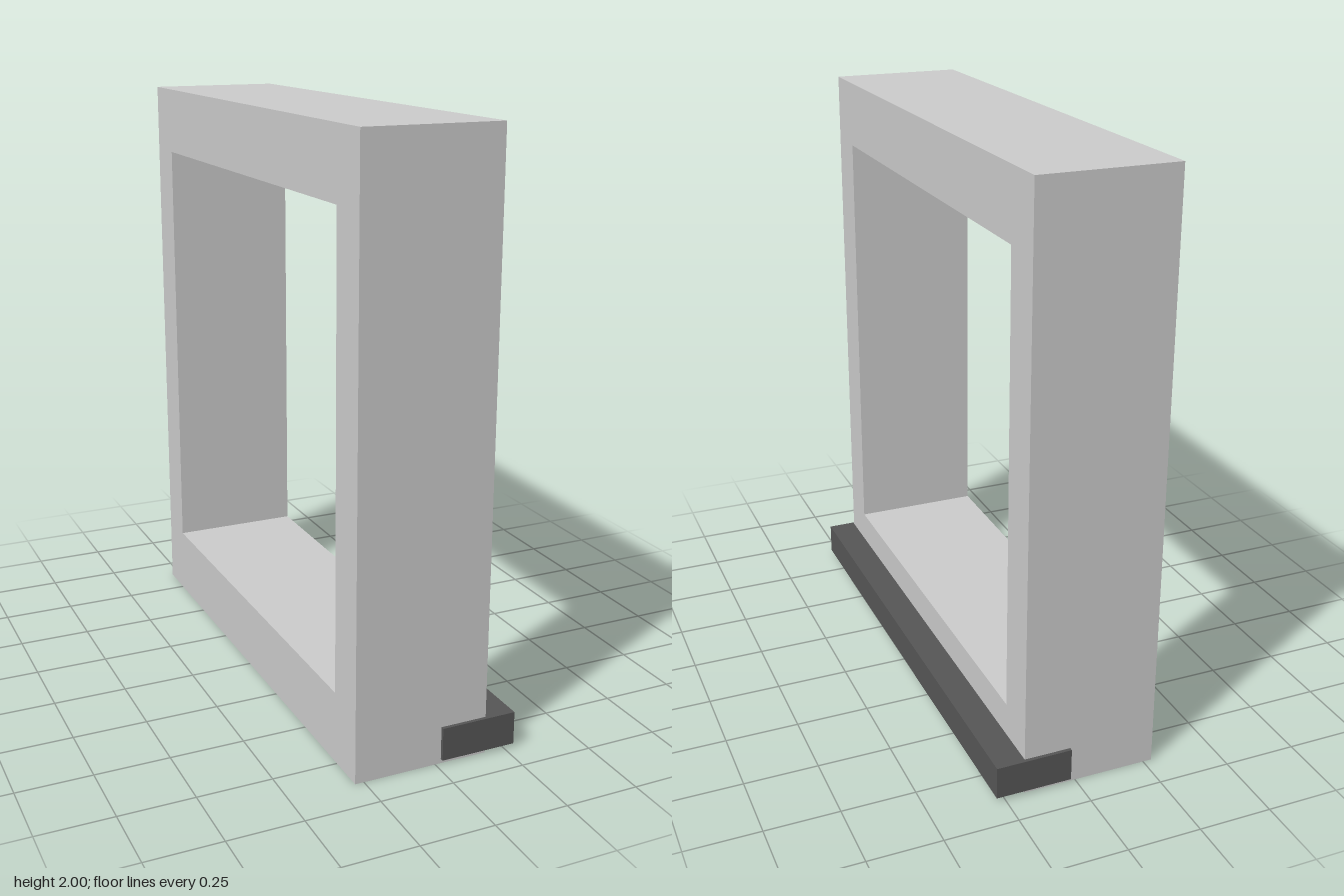
import * as THREE from 'three';

// Axis-aligned rectangle outline; u runs along z, v is height
function trace(path, u, v0, v1) {
  path.moveTo(-u, v0);
  path.lineTo(u, v0);
  path.lineTo(u, v1);
  path.lineTo(-u, v1);
  path.closePath();
  return path;
}

export function createModel() {
  const group = new THREE.Group();
  group.name = 'windowFrame';

  // Deep frame with a rectangular opening, extruded along x
  const outline = trace(new THREE.Shape(), 0.883, 0, 2);
  outline.holes.push(trace(new THREE.Path(), 0.734, 0.24, 1.77));
  const frameGeometry = new THREE.ExtrudeGeometry(outline, { depth: 0.46, bevelEnabled: false });
  frameGeometry.rotateY(Math.PI / 2).translate(-0.28, 0, 0);
  const frame = new THREE.Mesh(frameGeometry, new THREE.MeshStandardMaterial({ color: 0xcccccc }));
  frame.name = 'frame';
  group.add(frame);

  // Dark sill let into the lower rail and projecting past it
  const sill = new THREE.Mesh(
    new THREE.BoxGeometry(0.26, 0.112, 1.79),
    new THREE.MeshStandardMaterial({ color: 0x565656 })
  );
  sill.name = 'sill';
  sill.position.set(0.15, 0.071, 0);
  group.add(sill);

  return group;
}
